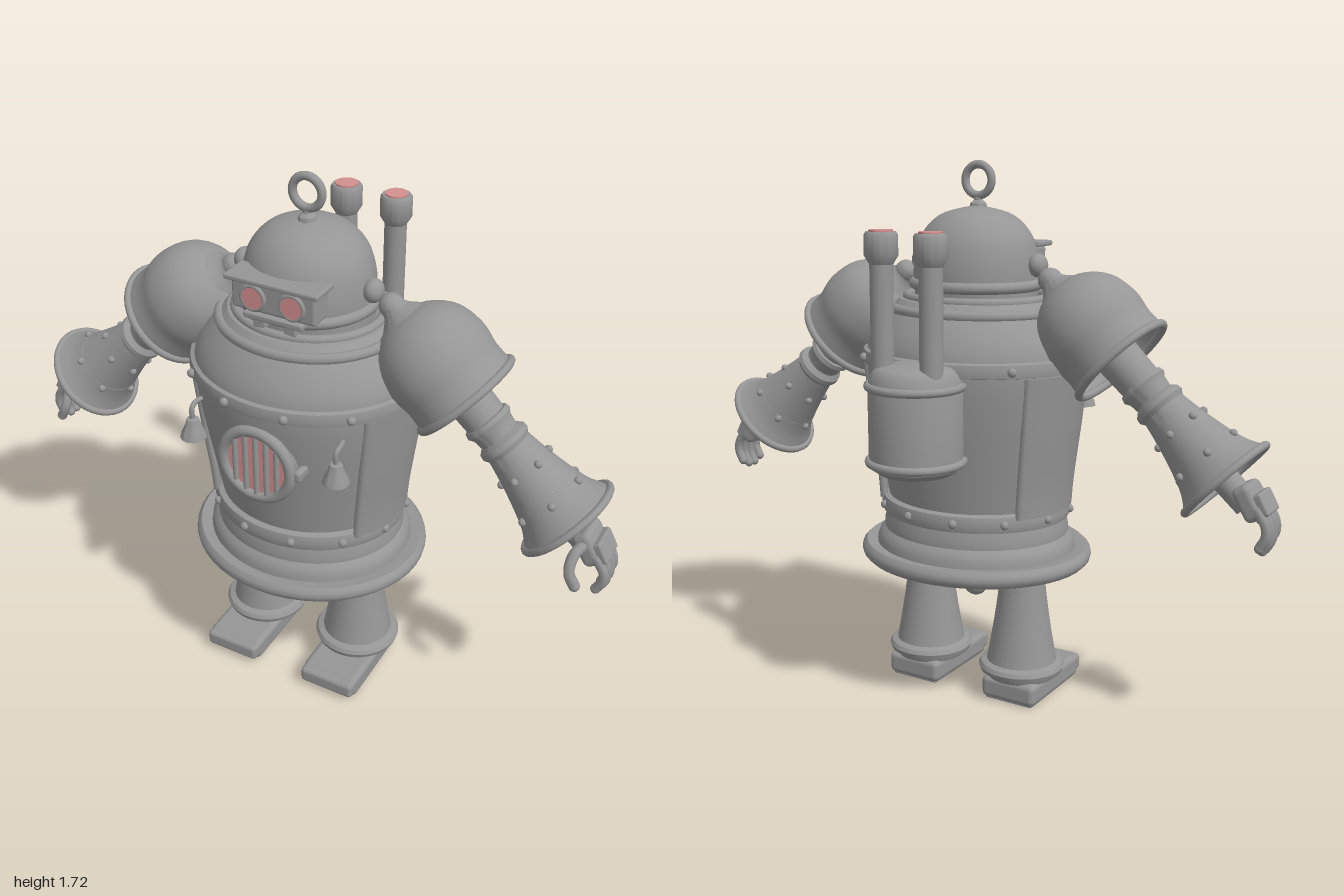
import * as THREE from 'three';
import { toCreasedNormals } from 'three/addons/utils/BufferGeometryUtils.js';
import { RoundedBoxGeometry } from 'three/addons/geometries/RoundedBoxGeometry.js';

const metal = new THREE.MeshStandardMaterial({ color: 0x969696, side: THREE.DoubleSide });
metal.name = 'grey metal';
const glow = new THREE.MeshStandardMaterial({ color: 0xd38f8f });
glow.name = 'pink glow';

const V = (x, y, z) => new THREE.Vector3(x, y, z);

function add(parent, name, geometry, pos = [0, 0, 0], rot = [0, 0, 0], material = metal) {
  const m = new THREE.Mesh(geometry, material);
  m.name = name;
  m.position.set(...pos);
  m.rotation.set(...rot);
  parent.add(m);
  return m;
}

function group(parent, name, pos = [0, 0, 0]) {
  const g = new THREE.Group();
  g.name = name;
  g.position.set(...pos);
  parent.add(g);
  return g;
}

// Turned part from [radius, height] pairs, with sharp edges kept
const turned = (pts, start = 0, sweep = Math.PI * 2) => toCreasedNormals(
  new THREE.LatheGeometry(pts.map(p => new THREE.Vector2(...p)), 48, start, sweep), 0.6);

// Smooth curve through a few profile points
const smooth = (pts, n = 14) => new THREE.SplineCurve(pts.map(p => new THREE.Vector2(...p)))
  .getPoints(n).map(p => [p.x, p.y]);

const hoop = (r, tube) => new THREE.TorusGeometry(r, tube, 10, 48);
const FLAT = [Math.PI / 2, 0, 0];
const rod = (r1, r2, h, n = 24) => new THREE.CylinderGeometry(r1, r2, h, n);
const ball = (r) => new THREE.SphereGeometry(r, 16, 12);
const box = (w, h, d, r = 0.01) => new RoundedBoxGeometry(w, h, d, 2, r);
const tube = (pts, r) => new THREE.TubeGeometry(new THREE.CatmullRomCurve3(pts), 12, r, 8);

function rivets(parent, count, radius, y, size, offset = 0) {
  for (let i = 0; i < count; i++) {
    const a = (i / count) * Math.PI * 2 + offset;
    add(parent, 'rivet', ball(size), [Math.sin(a) * radius, y, Math.cos(a) * radius]);
  }
}

function buildBody(root) {
  const body = group(root, 'body', [0, 0, 0.075]);
  body.scale.z = 0.9;
  const wall = smooth([[0.29, 0.66], [0.315, 0.8], [0.345, 0.97], [0.36, 1.12], [0.335, 1.2], [0.285, 1.265]]);
  add(body, 'torso', turned([...wall, [0.25, 1.3], [0.22, 1.305], [0.2, 1.3]]));
  add(body, 'neck', turned([[0.2, 1.28], [0.2, 1.34], [0, 1.34]]));
  add(body, 'shoulderRing', hoop(0.275, 0.017), [0, 1.27, 0], FLAT);
  add(body, 'collarRing', hoop(0.225, 0.015), [0, 1.305, 0], FLAT);
  add(body, 'chestBand', turned([[0.35, 1.095], [0.372, 1.1], [0.375, 1.12], [0.37, 1.14], [0.34, 1.15]]));
  rivets(body, 12, 0.378, 1.12, 0.014, Math.PI / 12);
  add(body, 'belt', turned([[0.29, 0.605], [0.31, 0.61], [0.317, 0.635], [0.31, 0.66], [0.28, 0.668]]));
  rivets(body, 12, 0.315, 0.637, 0.014, Math.PI / 12);
  add(body, 'skirt', turned([...smooth([[0.335, 0.49], [0.328, 0.53], [0.308, 0.555]], 5),
    [0.308, 0.575], [0.298, 0.61]]));
  add(body, 'skirtRim', turned([[0.325, 0.455], [0.37, 0.452], [0.383, 0.465], [0.386, 0.478],
    [0.383, 0.492], [0.37, 0.505], [0.325, 0.5], [0.325, 0.455]]));
  add(body, 'pelvis', turned(smooth([[0, 0.355], [0.1, 0.375], [0.18, 0.44], [0.22, 0.53], [0.225, 0.6]])));
  add(body, 'pelvisKnob', ball(0.043), [0, 0.352, 0]);

  // Side panels standing off the torso, with a rib along each edge
  const line = smooth([[0.318, 0.65], [0.325, 0.74], [0.347, 0.92], [0.366, 1.095]]);
  const inner = line.map(([r, y]) => [r - 0.02, y]).reverse();
  const half = 0.62;
  for (const s of [1, -1]) {
    add(body, 'sidePanel', turned([...line, ...inner, line[0]], s * Math.PI / 2 - half, half * 2));
    for (const e of [1, -1]) {
      const a = s * Math.PI / 2 + e * half;
      add(body, 'panelRib', tube(line.map(([r, y]) =>
        V(Math.sin(a) * (r - 0.008), y, Math.cos(a) * (r - 0.008))), 0.013));
    }
  }
}

function buildChest(root) {
  // Grated porthole
  const port = group(root, 'porthole', [0, 0.93, 0]);
  add(port, 'portholeCase', rod(0.12, 0.12, 0.1, 40), [0, 0, 0.345], FLAT);
  add(port, 'portholeRim', hoop(0.113, 0.018), [0, 0, 0.395]);
  add(port, 'portholeGlow', new THREE.CircleGeometry(0.1, 40), [0, 0, 0.398], [0, 0, 0], glow);
  for (let i = -2; i <= 2; i++) {
    const x = i * 0.035;
    add(port, 'grateBar', rod(0.009, 0.009, 2 * Math.sqrt(0.01 - x * x), 10), [x, 0, 0.4]);
  }
  add(port, 'latch', box(0.025, 0.035, 0.07), [0.135, 0, 0.365]);

  // Small hanging bells
  for (const s of [1, -1]) {
    const bell = group(root, 'bell', [s * 0.243, 0.93, 0.36]);
    add(bell, 'bellCup', turned([[0, 0.01], [0.036, 0.008], [0.04, 0], [0.036, 0.015], [0.024, 0.04], [0.018, 0.062], [0, 0.068]]));
    add(bell, 'bellClapper', ball(0.012), [0, 0.002, 0]);
    add(bell, 'bellHook', tube([V(0, 0.06, 0), V(0, 0.1, 0), V(0, 0.11, -0.03), V(-s * 0.02, 0.1, -0.09)], 0.008));
  }
}

function buildHead(root) {
  const head = group(root, 'head', [0, 0, 0.075]);
  const dome = group(head, 'headDome');
  dome.scale.z = 0.96;
  add(dome, 'skull', turned(smooth([[0.2, 1.34], [0.197, 1.42], [0.172, 1.5], [0.11, 1.56], [0, 1.588]], 18)));
  add(dome, 'headRing', hoop(0.198, 0.018), [0, 1.347, 0], FLAT);
  add(head, 'loopBase', turned([[0.028, 1.575], [0.025, 1.592], [0.013, 1.602], [0.012, 1.62]]), [0, 0, 0.01]);
  add(head, 'topLoop', hoop(0.047, 0.013), [0, 1.663, 0.01]);
  for (const s of [1, -1]) {
    add(head, 'earPin', rod(0.025, 0.025, 0.06), [s * 0.195, 1.41, 0.01], [0, 0, Math.PI / 2]);
    add(head, 'ear', ball(0.036), [s * 0.213, 1.41, 0.01]).scale.x = 0.85;
  }
  // Face plate, brow and eyes
  add(head, 'facePlate', box(0.27, 0.09, 0.13), [0, 1.41, 0.145]);
  add(head, 'brow', box(0.3, 0.017, 0.1, 0.006), [0, 1.463, 0.176]);
  for (const s of [1, -1]) {
    add(head, 'eyeRim', hoop(0.036, 0.007), [s * 0.063, 1.41, 0.211]);
    add(head, 'eye', rod(0.033, 0.033, 0.008), [s * 0.063, 1.41, 0.213], FLAT, glow);
    add(head, 'jawBlock', box(0.04, 0.03, 0.05, 0.006), [s * 0.05, 1.328, 0.18]);
  }
  add(head, 'jaw', box(0.19, 0.02, 0.05, 0.006), [0, 1.352, 0.19]);
}

function buildArm(root, s) {
  // The arm hangs along its own +y axis, out and down from the shoulder
  const arm = group(root, s > 0 ? 'leftArm' : 'rightArm', [s * 0.41, 1.232, 0.07]);
  arm.rotation.z = -2.323 * s;
  add(arm, 'shoulderDome', turned(smooth([[0, -0.17], [0.085, -0.147], [0.147, -0.085], [0.168, 0], [0.16, 0.07], [0.163, 0.13]], 20)));
  add(arm, 'shoulderRim', hoop(0.162, 0.013), [0, 0.13, 0], FLAT);
  add(arm, 'shoulderNeck', turned(smooth([[0.035, -0.215], [0.04, -0.185], [0.075, -0.15]], 6)));
  add(arm, 'shoulderKnob', ball(0.038), [0, -0.2, 0]);
  add(arm, 'upperArm', rod(0.062, 0.075, 0.36), [0, 0.11, 0]);
  add(arm, 'elbow', turned([[0.05, 0.215], [0.072, 0.22], [0.076, 0.235], [0.066, 0.25], [0.062, 0.28], [0.078, 0.295], [0.08, 0.31], [0.07, 0.325]]));
  add(arm, 'forearm', turned(smooth([[0.068, 0.31], [0.08, 0.38], [0.098, 0.46], [0.122, 0.54], [0.152, 0.59]])));
  add(arm, 'cuffRim', hoop(0.152, 0.012), [0, 0.593, 0], FLAT);
  rivets(arm, 6, 0.085, 0.4, 0.012);
  rivets(arm, 6, 0.114, 0.51, 0.012, Math.PI / 6);
  add(arm, 'cuffFloor', new THREE.CircleGeometry(0.11, 32), [0, 0.5, 0], FLAT);
  add(arm, 'wrist', rod(0.04, 0.045, 0.2), [0, 0.59, 0]);

  const hand = group(root, s > 0 ? 'leftHand' : 'rightHand');
  add(hand, 'palm', box(0.06, 0.11, 0.115, 0.02), [s * 0.925, 0.775, 0.075], [0, 0, s * 0.55]);
  add(hand, 'knucklePlate', box(0.03, 0.07, 0.1, 0.008), [s * 0.963, 0.775, 0.075], [0, 0, s * 0.5]);
  for (let i = 0; i < 4; i++) {
    const z = 0.03 + i * 0.03, d = i === 0 || i === 3 ? 0.015 : 0;
    add(hand, 'finger', tube([V(s * 0.95, 0.765, z), V(s * 0.98, 0.72, z), V(s * 0.984, 0.67 + d, z),
      V(s * 0.967, 0.635 + d, z)], 0.015));
    add(hand, 'fingertip', ball(0.015), [s * 0.967, 0.635 + d, z]);
  }
  add(hand, 'thumb', tube([V(s * 0.92, 0.8, 0.11), V(s * 0.9, 0.775, 0.16), V(s * 0.9, 0.73, 0.185), V(s * 0.92, 0.69, 0.185)], 0.017));
  add(hand, 'thumbTip', ball(0.017), [s * 0.92, 0.69, 0.185]);
}

function buildLeg(root, s) {
  const leg = group(root, s > 0 ? 'leftLeg' : 'rightLeg', [s * 0.178, 0, 0.073]);
  add(leg, 'legFlare', turned(smooth([[0.117, 0.11], [0.104, 0.18], [0.085, 0.3], [0.072, 0.42], [0.068, 0.56]])));
  add(leg, 'ankleRing', turned([[0.105, 0.088], [0.135, 0.092], [0.14, 0.107], [0.133, 0.12], [0.11, 0.128]]));
  add(leg, 'ankle', rod(0.125, 0.115, 0.025, 40), [0, 0.086, 0]);
  add(leg, 'foot', box(0.195, 0.075, 0.325, 0.02), [s * 0.005, 0.043, 0.054]);
  add(leg, 'sole', box(0.17, 0.02, 0.3, 0.005), [s * 0.005, 0.01, 0.054]);
  add(leg, 'toe', box(0.19, 0.055, 0.09, 0.015), [s * 0.005, 0.047, 0.195]);
}

function buildBackpack(root) {
  const pack = group(root, 'backpack', [0, 0, -0.272]);
  add(pack, 'boiler', turned([[0, 0.805], [0.11, 0.808], [0.142, 0.83], [0.143, 1.08],
    ...smooth([[0.143, 1.08], [0.13, 1.115], [0.1, 1.135], [0, 1.145]], 8)]));
  for (const y of [0.845, 1.075]) add(pack, 'boilerBand', hoop(0.142, 0.013), [0, y, 0], FLAT);
  add(pack, 'mount', box(0.16, 0.2, 0.12), [0, 0.98, 0.12]);
  for (const s of [1, -1]) {
    const pipe = group(pack, 'chimney', [s * 0.086, 0, -0.045]);
    add(pipe, 'chimneyPipe', rod(0.035, 0.035, 0.36), [0, 1.27, 0]);
    add(pipe, 'chimneyCap', turned([[0.035, 1.43], [0.05, 1.455], [0.05, 1.515], [0.044, 1.524], [0, 1.524]]));
    add(pipe, 'chimneyGlow', rod(0.036, 0.036, 0.008), [0, 1.525, 0], [0, 0, 0], glow);
  }
}

export function createModel() {
  const root = new THREE.Group();
  root.name = 'robot';
  buildBody(root);
  buildChest(root);
  buildHead(root);
  for (const s of [1, -1]) {
    buildArm(root, s);
    buildLeg(root, s);
  }
  buildBackpack(root);
  return root;
}
